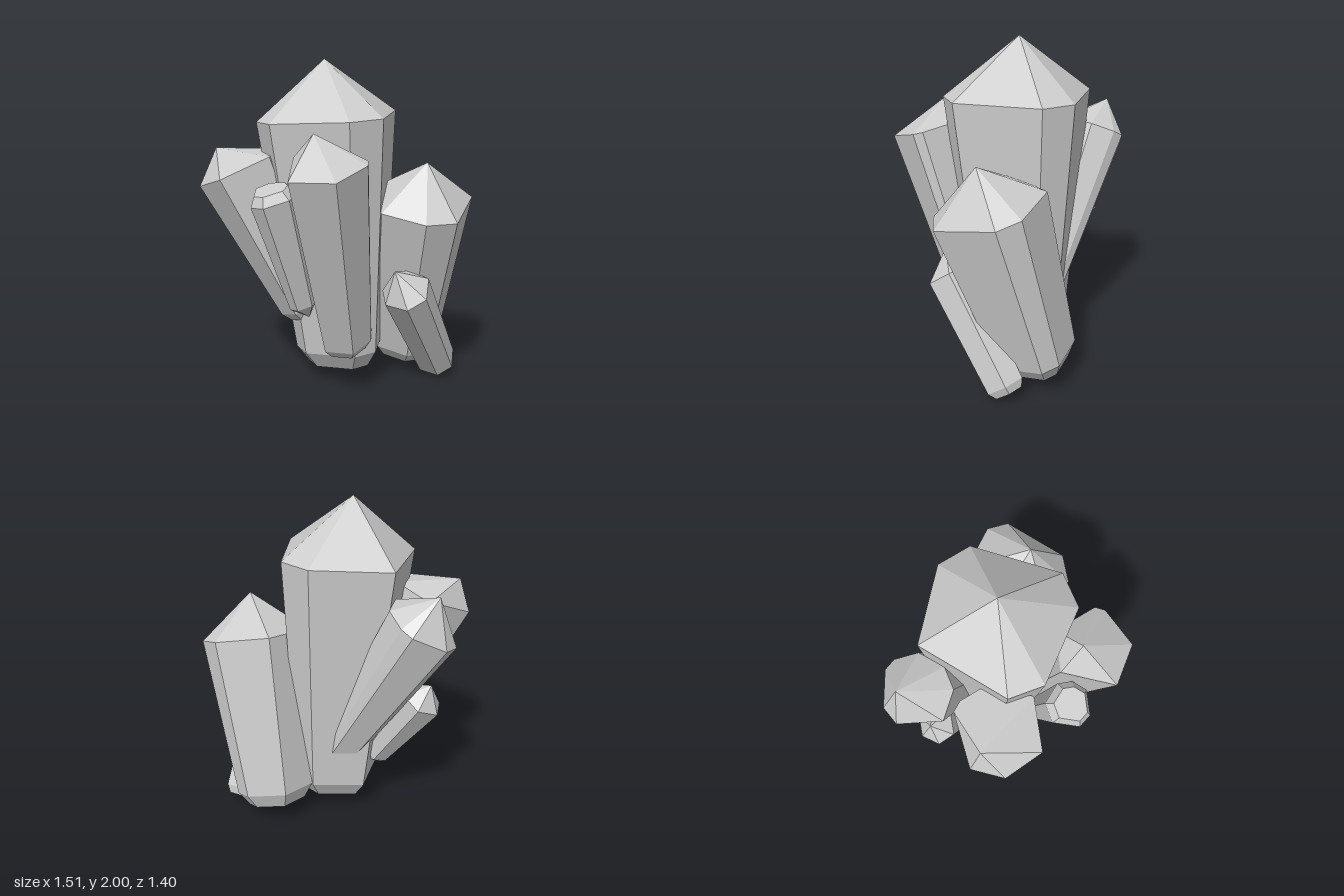
import * as THREE from 'three';

const material = new THREE.MeshStandardMaterial({ color: 0xcccccc, flatShading: true });

// A faceted crystal: a tapering prism from foot to shoulder, a pointed tip beyond it and a
// bevelled flat end. Its corners sit on a circle across the axis, at the given angles in
// degrees (0 = +x, 90 = -z).
function crystal(name, foot, shoulder, tip, radius, taper, angles) {
  const bottom = new THREE.Vector3(...foot);
  const top = new THREE.Vector3(...shoulder);
  const axis = top.clone().sub(bottom).normalize();
  const tilt = new THREE.Quaternion().setFromUnitVectors(new THREE.Vector3(0, 1, 0), axis);
  const end = bottom.clone().addScaledVector(axis, -0.38 * radius * taper);

  const ring = (centre, r) => angles.map((degrees) => {
    const a = THREE.MathUtils.degToRad(degrees);
    return new THREE.Vector3(r * Math.cos(a), 0, -r * Math.sin(a)).applyQuaternion(tilt).add(centre);
  });
  const rim = ring(top, radius);
  const footRing = ring(bottom, radius * taper);
  const endRing = ring(end, radius * taper * 0.74);
  const peak = new THREE.Vector3(...tip);

  const points = [];
  angles.forEach((_, i) => {
    const j = (i + 1) % angles.length;
    // Point of the crystal
    points.push(rim[i], rim[j], peak);
    // Long sides and foot bevel
    for (const [low, up] of [[footRing, rim], [endRing, footRing]]) {
      points.push(low[i], low[j], up[i], low[j], up[j], up[i]);
    }
    // Flat end
    points.push(endRing[j], endRing[i], end);
  });
  const geometry = new THREE.BufferGeometry().setFromPoints(points);
  geometry.computeVertexNormals();
  const mesh = new THREE.Mesh(geometry, material);
  mesh.name = name;
  return mesh;
}

export function createModel() {
  const group = new THREE.Group();
  group.name = 'crystalCluster';
  group.add(
    crystal('mainCrystal', [0.02, 0.22, -0.06], [-0.01, 1.66, 0.02], [-0.03, 2, 0.05],
      0.45, 0.67, [-1, 72, 99, 163, 240, 267, 331]),
    crystal('frontRightCrystal', [-0.07, 0.5, 0.18], [-0.33, 1.36, 0.46], [-0.5, 1.47, 0.52],
      0.27, 0.6, [7, 62, 105, 120, 196, 240, 296]),
    crystal('rightCrystal', [-0.08, 0.45, -0.16], [-0.565, 1.35, 0], [-0.67, 1.54, -0.01],
      0.225, 0.6, [0, 45, 85, 106, 165, 196, 275, 325]),
    crystal('smallRightCrystal', [-0.25, 0.38, 0.02], [-0.53, 0.83, 0.08], [-0.58, 0.93, 0.1],
      0.135, 0.6, [5, 60, 115, 180, 235, 290]),
    // This one stands on its point, flat end up
    crystal('smallFrontCrystal', [0.1, 1.24, 0.56], [0.1, 0.58, 0.35], [0.12, 0.49, 0.31],
      0.085, 1.65, [60, 98, 170, 220, 278, 315, 356]),
    crystal('frontLeftCrystal', [0.23, 0.33, 0.12], [0.37, 1.43, 0.42], [0.28, 1.6, 0.41],
      0.245, 0.66, [-27, 35, 50, 122, 180, 268]),
    crystal('backLeftCrystal', [0.2, 0.21, -0.46], [0.43, 1.16, -0.33], [0.49, 1.4, -0.3],
      0.335, 0.74, [-11, 64, 90, 148, 204, 267, 316]),
    crystal('smallLeftCrystal', [0.44, 0.09, -0.5], [0.545, 0.67, -0.075], [0.53, 0.8, 0.01],
      0.15, 0.85, [0, 63, 120, 205, 250, 310]),
  );
  return group;
}
